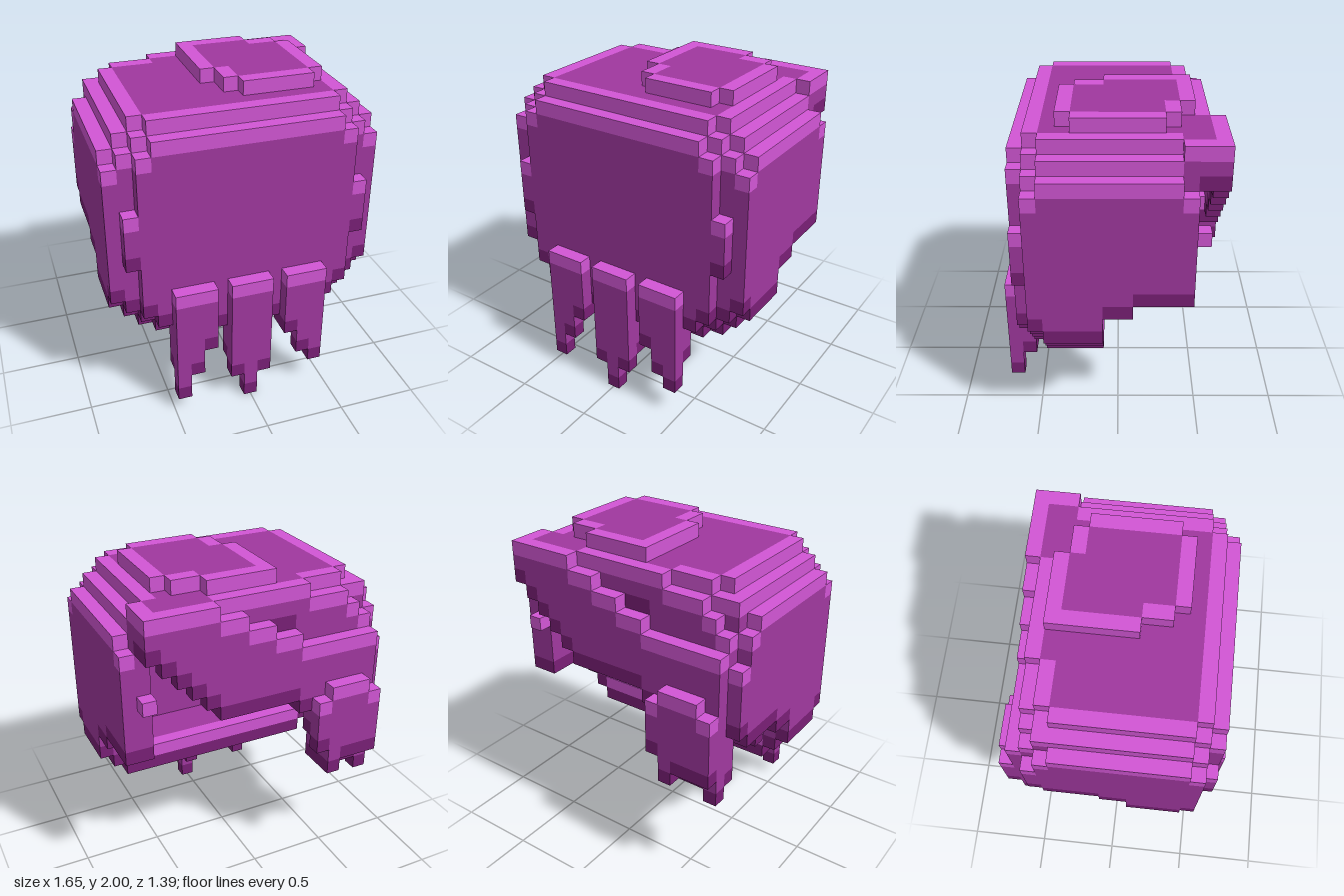
import * as THREE from 'three';

const U = 2 / 23, NX = 19, NZ = 16;
const mat = (name, color) => {
  const m = new THREE.MeshStandardMaterial({ color });
  m.name = name;
  return m;
};

// Six cube sides: outward normal n and in-plane axes a, b with a x b = n
const SIDES = [
  [[1, 0, 0], [0, 1, 0], [0, 0, 1]], [[-1, 0, 0], [0, 0, 1], [0, 1, 0]],
  [[0, 1, 0], [0, 0, 1], [1, 0, 0]], [[0, -1, 0], [1, 0, 0], [0, 0, 1]],
  [[0, 0, 1], [1, 0, 0], [0, 1, 0]], [[0, 0, -1], [0, 1, 0], [1, 0, 0]],
];

export function createModel() {
  const group = new THREE.Group();
  group.name = 'blockHair';
  const materials = [
    mat('orchidHighlight', 0xd256d5), mat('purpleMain', 0xa0389f), mat('plumShade', 0x791f76),
  ];
  const cells = new Map();
  const key = (x, y, z) => x + ',' + y + ',' + z;
  const full = (x, y, z) => cells.has(key(x, y, z));

  // Fill an inclusive block of cells for a part
  const fill = (part, x0, x1, y0, y1, z0, z1) => {
    for (let x = x0; x <= x1; x++)
      for (let y = y0; y <= y1; y++)
        for (let z = z0; z <= z1; z++) {
          const k = key(x, y, z);
          if (!cells.has(k)) cells.set(k, { part, p: [x, y, z] });
        }
  };
  // Same block on both sides
  const pair = (part, x0, x1, ...r) => {
    fill(part, x0, x1, ...r);
    fill(part, NX - 1 - x1, NX - 1 - x0, ...r);
  };

  // Outer side panels, cut higher towards the face opening
  pair('sidePanels', 0, 0, 8, 19, 9, 12);
  pair('sidePanels', 0, 0, 9, 18, 13, 13);
  pair('sidePanels', 0, 0, 10, 19, 7, 8);
  pair('sidePanels', 0, 0, 11, 19, 4, 6);
  pair('sidePanels', 0, 0, 11, 18, 3, 3);
  fill('sidePanels', 0, 0, 12, 16, 2, 2);

  // Inner side walls with one short strand and one small knob
  pair('sideWalls', 1, 1, 7, 20, 9, 12);
  pair('sideWalls', 1, 1, 8, 19, 13, 13);
  pair('sideWalls', 1, 1, 10, 20, 7, 8);
  pair('sideWalls', 1, 1, 11, 20, 3, 6);
  fill('sideWalls', 1, 1, 9, 10, 6, 6);
  fill('sideWalls', 17, 17, 15, 15, 2, 2);

  // Broad wall on the +z side
  fill('mainWall', 3, 15, 6, 20, 13, 13);
  pair('mainWall', 2, 2, 7, 20, 13, 13);
  fill('mainWall', 4, 14, 6, 20, 14, 14);
  pair('mainWall', 3, 3, 7, 20, 14, 14);
  pair('mainWall', 2, 2, 8, 19, 14, 14);
  pair('mainWall', 1, 1, 12, 15, 14, 14);

  // Lower shelf
  fill('lowerShelf', 2, 16, 6, 7, 9, 12);

  // Crown layers with clipped corners, and the offset cap
  fill('crown', 1, 17, 20, 20, 3, 12);
  fill('crown', 3, 17, 20, 20, 2, 2);
  fill('crown', 2, 17, 19, 19, 2, 2);
  fill('crown', 3, 15, 21, 21, 13, 13);
  fill('crown', 2, 16, 21, 21, 4, 12);
  fill('crown', 3, 16, 21, 21, 3, 3);
  fill('crown', 6, 16, 21, 21, 2, 2);
  fill('crown', 13, 17, 21, 21, 1, 3);
  fill('cap', 8, 8, 22, 22, 3, 8);
  fill('cap', 9, 9, 22, 22, 3, 10);
  fill('cap', 10, 12, 22, 22, 3, 11);
  fill('cap', 13, 14, 22, 22, 4, 11);
  fill('cap', 15, 15, 22, 22, 5, 10);

  // Swept fringe: stepped upper and lower edges across the face opening
  const bottoms = [7, 8, 8, 8, 11, 13, 14, 14, 14, 14, 14, 14, 15, 16, 17, 18, 19];
  bottoms.forEach((bottom, n) => {
    const x = n + 1;
    const top = x >= 13 ? 21 : x >= 7 ? 18 + Math.floor((x - 7) / 2) : 17;
    fill('fringe', x, x, bottom, top, 1, 1);
  });
  // Inner layer behind the long end, and a ledge behind the middle
  fill('fringe', 1, 4, 8, 18, 2, 2);
  fill('fringe', 5, 6, 13, 18, 2, 2);
  fill('fringe', 7, 12, 14, 15, 2, 2);

  // Raised lock at the side of the fringe
  [[9, 13], [9, 14], [9, 14], [8, 14], [10, 13]].forEach(([lo, hi], n) =>
    fill('sideLock', n + 1, n + 1, lo, hi, 0, 0));

  // Three hanging tails: column, outer bottom, inner bottom
  [[4, 1, 3], [5, 3, 4], [6, 5, 5], [8, 2, 3], [9, 0, 2], [10, 2, 3],
    [12, 5, 5], [13, 3, 4], [14, 2, 4]].forEach(([x, outer, inner]) => {
    fill('tails', x, x, outer, 9, 15, 15);
    fill('tails', x, x, inner, 5, 14, 14);
  });

  // Upper rims are light, lower rims dark, everything else the main colour
  const tone = (x, y, z) => {
    const rim = !full(x + 1, y, z) || !full(x - 1, y, z) || !full(x, y, z + 1) || !full(x, y, z - 1);
    if (rim && !full(x, y + 1, z)) return 0;
    if (rim && !full(x, y - 1, z)) return 2;
    return 1;
  };

  // Collect the exposed faces of each part by colour
  const parts = {};
  for (const { part, p } of cells.values()) {
    const bins = (parts[part] ??= [[], [], []]);
    const out = bins[tone(...p)];
    for (const [n, a, b] of SIDES) {
      if (full(p[0] + n[0], p[1] + n[1], p[2] + n[2])) continue;
      const corner = (s, t) => [0, 1, 2].map(
        (c) => p[c] + 0.5 + (n[c] + s * a[c] + t * b[c]) / 2);
      const q = [corner(-1, -1), corner(1, -1), corner(1, 1), corner(-1, 1)];
      for (const v of [0, 1, 2, 0, 2, 3])
        out.push((q[v][0] - NX / 2) * U, q[v][1] * U, (q[v][2] - NZ / 2) * U);
    }
  }

  for (const [name, bins] of Object.entries(parts)) {
    const geo = new THREE.BufferGeometry();
    geo.setAttribute('position', new THREE.Float32BufferAttribute(bins.flat(), 3));
    let start = 0;
    bins.forEach((bin, m) => {
      if (bin.length) geo.addGroup(start, bin.length / 3, m);
      start += bin.length / 3;
    });
    geo.computeVertexNormals();
    const mesh = new THREE.Mesh(geo, materials);
    mesh.name = name;
    group.add(mesh);
  }
  return group;
}
